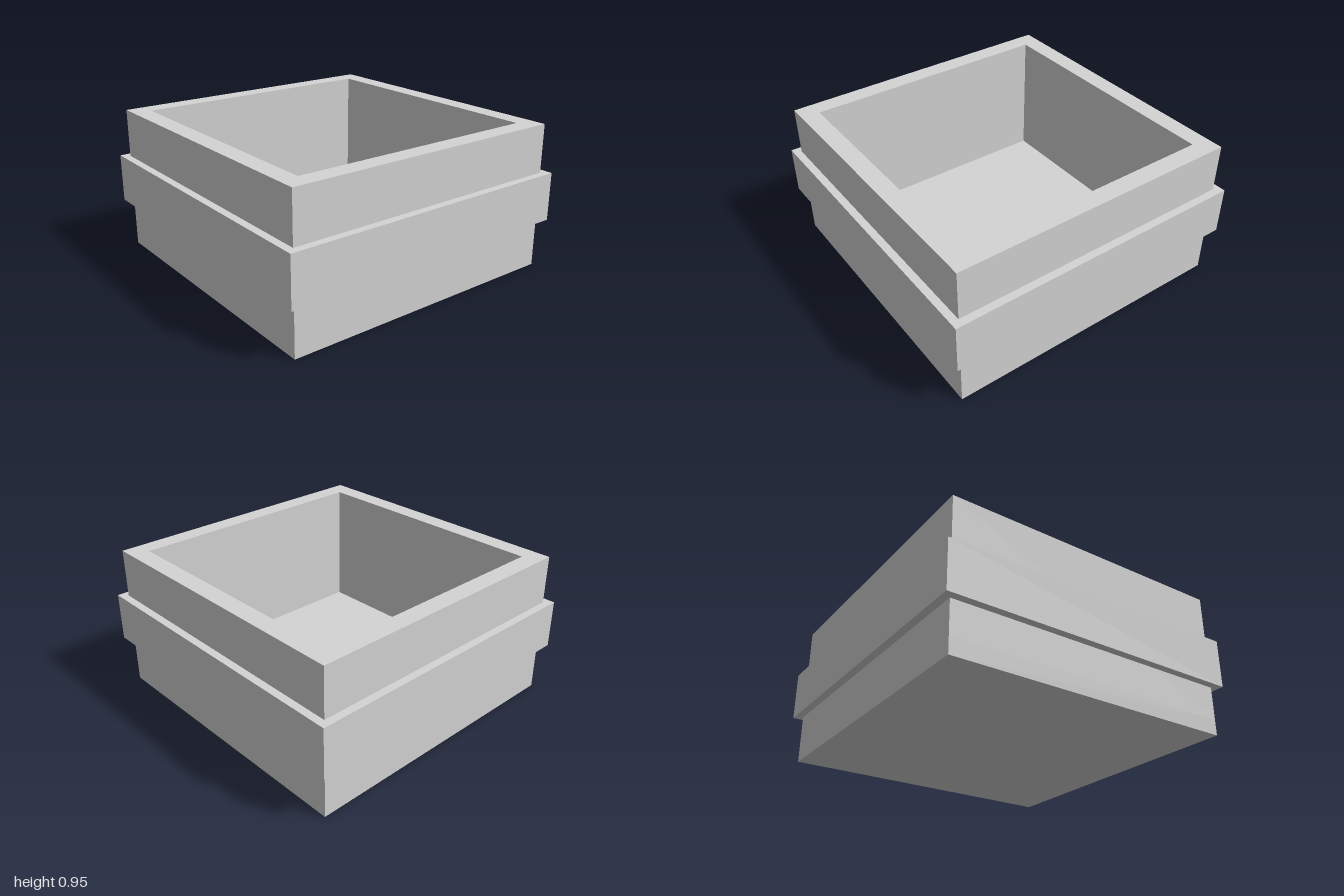
import * as THREE from 'three';

const HEIGHT = 0.95, OUTER = 0.95, INNER = 0.83, FLOOR = 0.105;
const BAND = 1, BAND_LOW = 0.317, BAND_HIGH = 0.634;

// Traces a square of the given half width
function square(target, half) {
  target.moveTo(-half, -half);
  target.lineTo(half, -half);
  target.lineTo(half, half);
  target.lineTo(-half, half);
  target.closePath();
  return target;
}

// Upright square tube between two heights
function squareRing(name, outer, inner, low, high, material) {
  const shape = square(new THREE.Shape(), outer);
  shape.holes.push(square(new THREE.Path(), inner));
  const geometry = new THREE.ExtrudeGeometry(shape, { depth: high - low, bevelEnabled: false });
  geometry.rotateX(-Math.PI / 2).translate(0, low, 0);
  const mesh = new THREE.Mesh(geometry, material);
  mesh.name = name;
  return mesh;
}

export function createModel() {
  const group = new THREE.Group();
  group.name = 'openBox';
  const lightGrey = new THREE.MeshStandardMaterial({ color: 0xd4d4d4 });
  lightGrey.name = 'lightGrey';

  // Floor slab
  const floor = new THREE.Mesh(new THREE.BoxGeometry(OUTER * 2, FLOOR, OUTER * 2), lightGrey);
  floor.name = 'floor';
  floor.position.y = FLOOR / 2;

  // Walls standing on the floor, with a raised band around them
  group.add(
    floor,
    squareRing('walls', OUTER, INNER, FLOOR, HEIGHT, lightGrey),
    squareRing('band', BAND, OUTER, BAND_LOW, BAND_HIGH, lightGrey)
  );
  return group;
}
